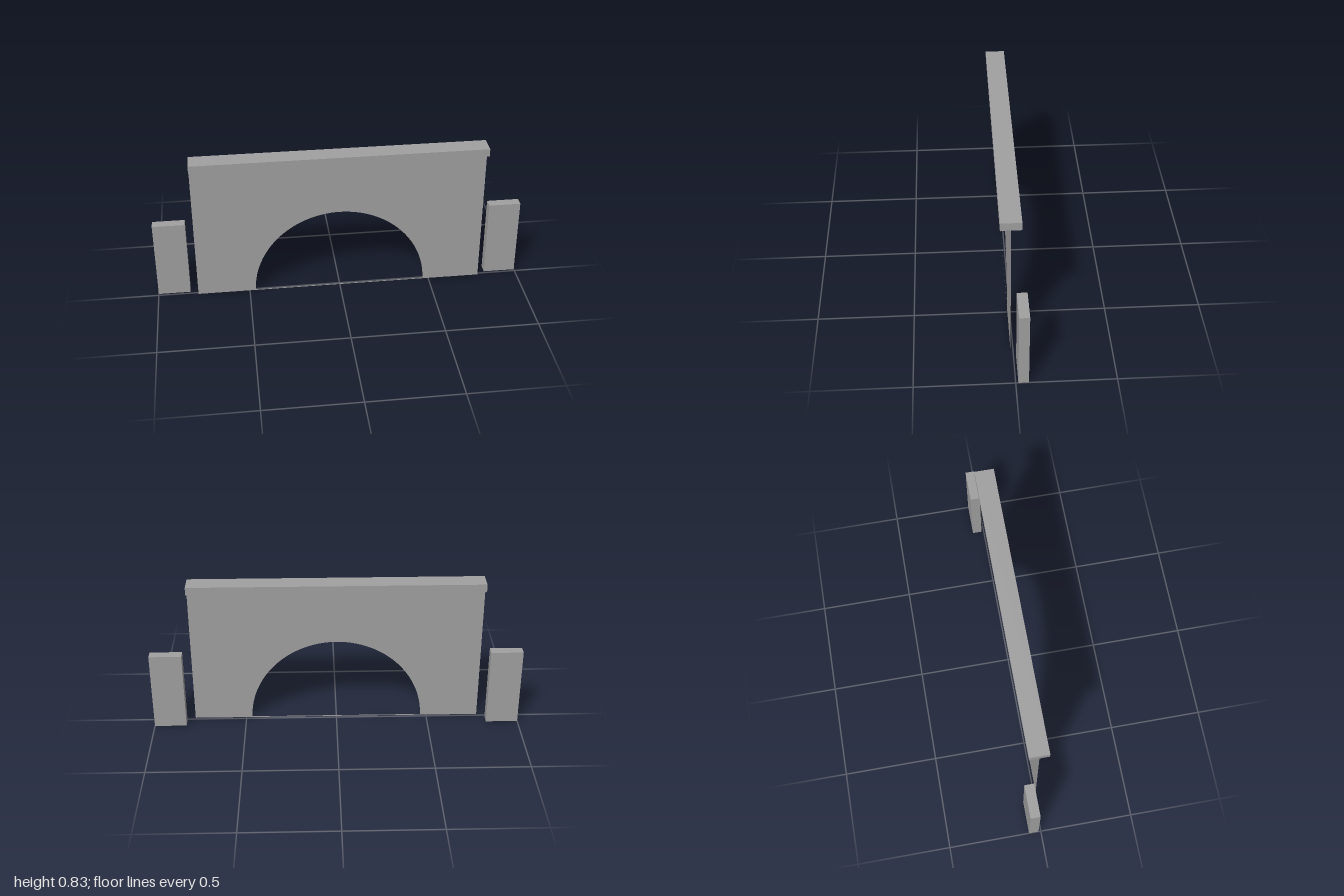
import * as THREE from 'three';

export function createModel() {
  const model = new THREE.Group();
  const stone = new THREE.MeshStandardMaterial({ color: 0xa0a0a0, side: THREE.DoubleSide });
  stone.name = 'grey stone';

  const halfWidth = 0.783, wallTop = 0.785, archRadius = 0.467, sill = 0.005;

  function add(name, geometry, x, y, z) {
    const mesh = new THREE.Mesh(geometry, stone);
    mesh.name = name;
    mesh.position.set(x, y, z);
    model.add(mesh);
  }

  // Flat wall sheet with a half-round opening above a hairline sill
  const wall = new THREE.Shape();
  wall.moveTo(-halfWidth, 0);
  wall.lineTo(halfWidth, 0);
  wall.lineTo(halfWidth, wallTop);
  wall.lineTo(-halfWidth, wallTop);
  wall.closePath();
  const arch = new THREE.Path();
  arch.absarc(0, sill, archRadius, 0, Math.PI, false);
  arch.closePath();
  wall.holes.push(arch);
  add('archWall', new THREE.ShapeGeometry(wall, 32), 0, 0, 0.0125);

  // Coping beam along the top
  add('coping', new THREE.BoxGeometry(halfWidth * 2, 0.043, 0.104), 0, wallTop + 0.0215, 0.0125);

  // Free-standing side posts, set slightly back
  for (const side of [-1, 1]) {
    add(side > 0 ? 'leftPost' : 'rightPost',
      new THREE.BoxGeometry(0.174, 0.435, 0.052), side * 0.913, 0.2175, -0.039);
  }

  return model;
}
